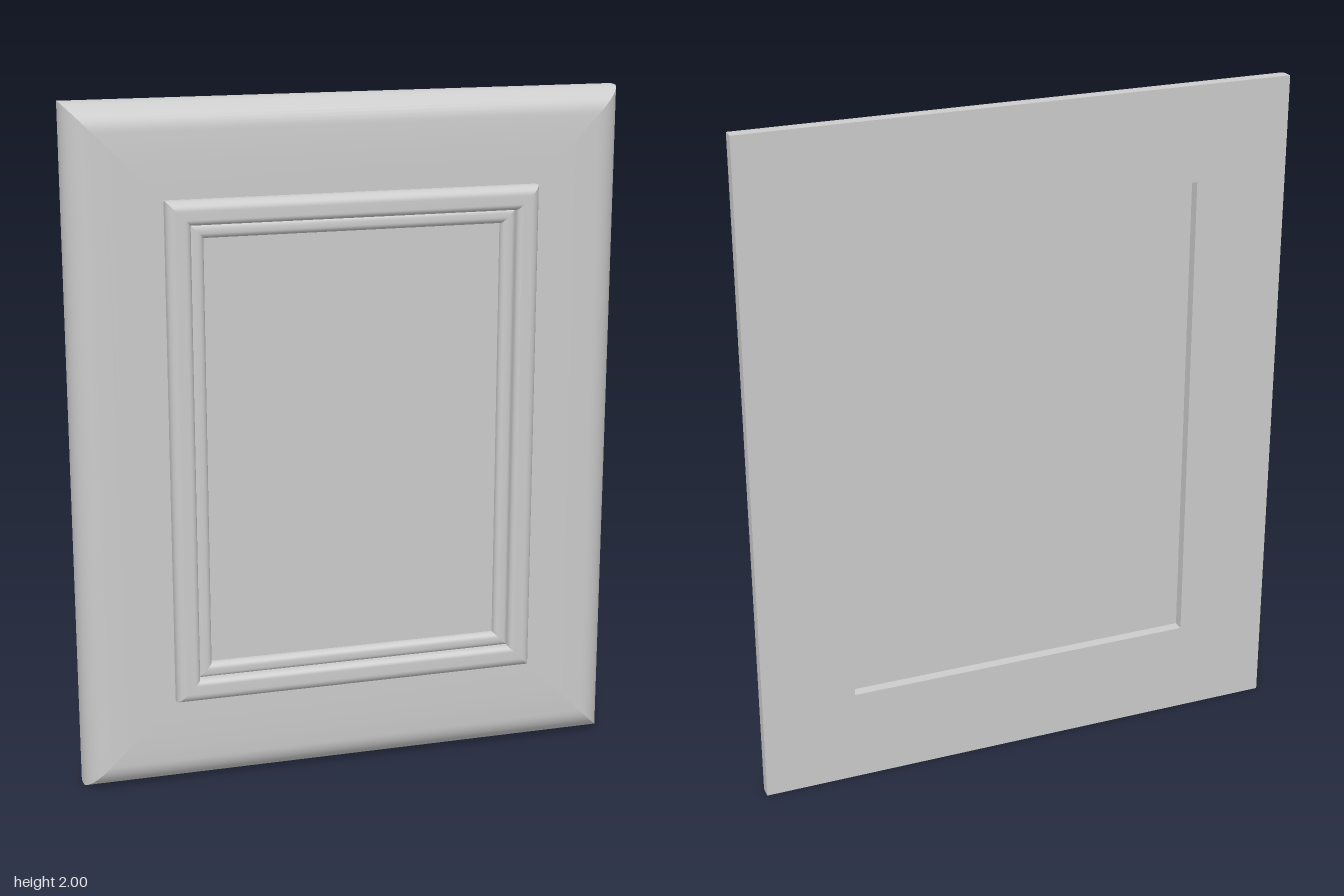
import * as THREE from 'three';

const HALF_W = 0.81, HALF_H = 1;

// Points on an elliptical arc in (inset, z), angles in degrees
function arc(cx, cz, rx, rz, from, to, n = 8) {
  return Array.from({ length: n + 1 }, (_, i) => {
    const a = THREE.MathUtils.degToRad(from + (to - from) * i / n);
    return [cx + rx * Math.cos(a), cz + rz * Math.sin(a)];
  });
}

// One mitred rail: sweeps a smooth run of [inset, z] points along one side
function railGeometry(run, side) {
  const corners = [[-1, -1], [1, -1], [1, 1], [-1, 1]];
  const ends = [corners[side], corners[(side + 1) % 4]];
  const position = [], index = [];
  run.forEach(([inset, z], i) => {
    for (const [sx, sy] of ends) position.push(sx * (HALF_W - inset), sy * (HALF_H - inset) + 1, z);
    if (i) {
      const a = 2 * (i - 1);
      index.push(a, a + 1, a + 3, a, a + 3, a + 2);
    }
  });
  const g = new THREE.BufferGeometry();
  g.setAttribute('position', new THREE.Float32BufferAttribute(position, 3));
  g.setIndex(index);
  g.computeVertexNormals();
  return g;
}

// Four mitred rails; separate runs keep sharp edges between them
function mitredFrame(name, runs, material) {
  const group = new THREE.Group();
  group.name = name;
  ['bottom', 'right', 'top', 'left'].forEach((label, side) => {
    // side 1 lies at +x, the model's own left
    const own = label === 'right' ? 'left' : label === 'left' ? 'right' : label;
    runs.forEach((run) => {
      const mesh = new THREE.Mesh(railGeometry(run, side), material);
      mesh.name = `${own} ${name} rail`;
      group.add(mesh);
    });
  });
  return group;
}

export function createModel() {
  const model = new THREE.Group();
  model.name = 'pictureFrame';
  const grey = new THREE.MeshStandardMaterial({ color: 0xcccccc });
  grey.name = 'light grey';

  // Wide outer frame: flat back, square edge, rounded shoulder, gently crowned face
  model.add(mitredFrame('outer frame', [
    [[0.28, -0.045], [0.28, -0.077]],
    [[0.28, -0.077], [0, -0.077]],
    [[0, -0.077], [0, -0.05], ...arc(0.08, -0.05, 0.08, 0.078, 180, 90, 12),
      [0.11, 0.03], [0.15, 0.0312], [0.2, 0.032], [0.285, 0.032]],
  ], grey));

  // Raised bead with rounded shoulders
  model.add(mitredFrame('raised bead', [
    [[0.267, 0.03], [0.267, 0.05], ...arc(0.294, 0.05, 0.027, 0.027, 180, 90),
      ...arc(0.318, 0.06, 0.017, 0.017, 90, 0)],
    [[0.335, 0.06], [0.335, 0.046]],
  ], grey));

  // Smaller stepped bead around the panel
  model.add(mitredFrame('inner bead', [
    [[0.335, 0.046], [0.338, 0.05], [0.345, 0.053], [0.355, 0.053],
      ...arc(0.358, 0.036, 0.017, 0.017, 90, 0)],
    [[0.375, 0.036], [0.375, 0.027]],
  ], grey));

  // Centre panel, recessed at the back
  const panel = new THREE.Mesh(new THREE.BoxGeometry(1.06, 1.44, 0.074), grey);
  panel.name = 'centre panel';
  panel.position.set(0, 1, -0.008);
  model.add(panel);

  return model;
}
